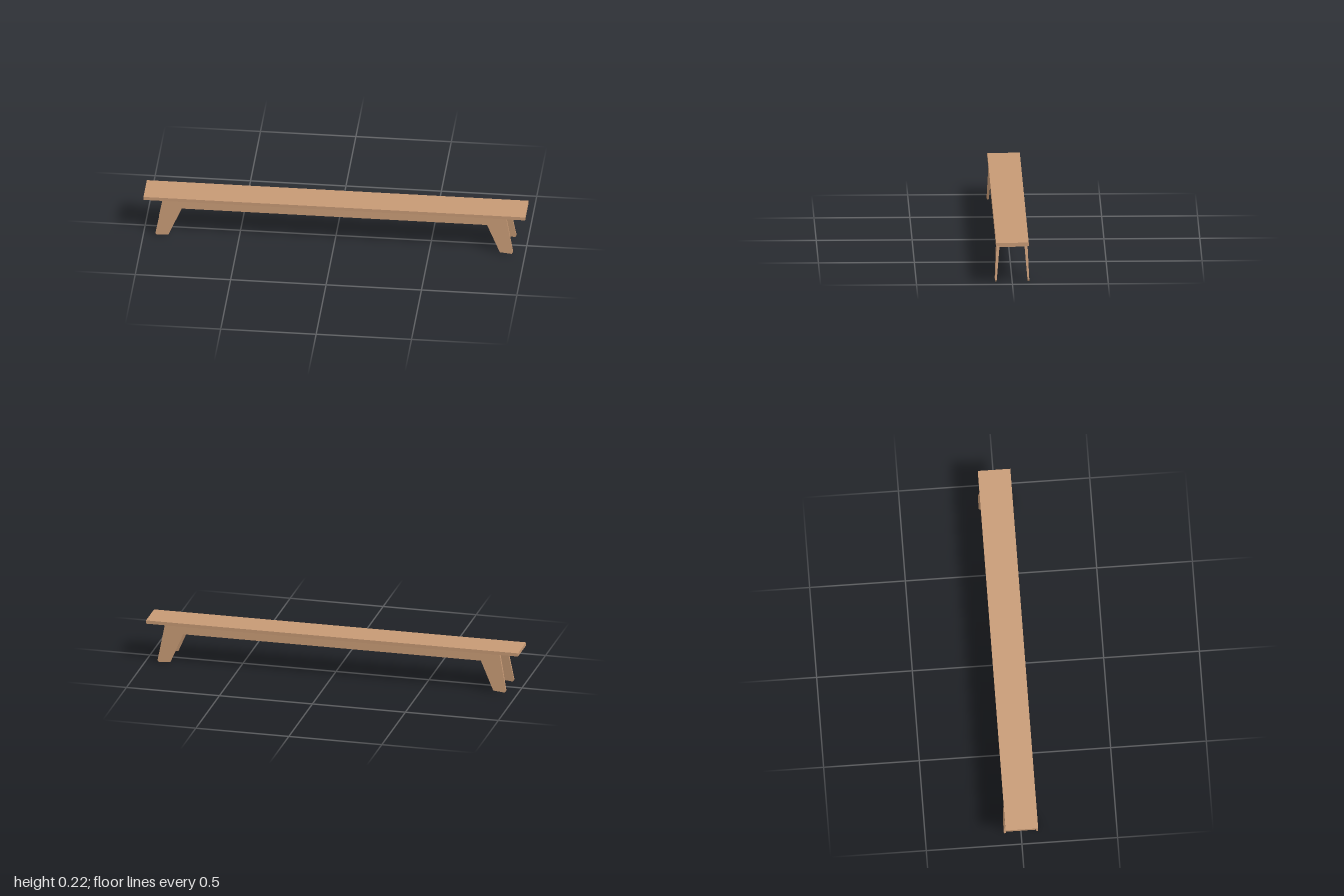
import * as THREE from 'three';

export function createModel() {
  const group = new THREE.Group();
  group.name = 'bench';
  const wood = new THREE.MeshStandardMaterial({ color: 0xc79a75 });
  wood.name = 'wood';

  function add(name, geometry, x = 0, y = 0, z = 0) {
    const mesh = new THREE.Mesh(geometry, wood);
    mesh.name = name;
    mesh.position.set(x, y, z);
    group.add(mesh);
  }

  // Seat plank
  add('seat', new THREE.BoxGeometry(2, 0.018, 0.17), 0, 0.216, 0);

  // Apron and its two legs, one cut-out board per side, leaning outwards at the feet
  const half = [[0.8, 0.165], [0.868, 0.008], [0.93, 0.002], [0.937, 0.012], [0.9, 0.208]];
  const outline = [...half, ...half.map(([x, y]) => [-x, y]).reverse()];
  const shape = new THREE.Shape(outline.map(([x, y]) => new THREE.Vector2(x, y)));
  function sideBoard(side) {
    const geo = new THREE.ExtrudeGeometry(shape, { depth: 1, bevelEnabled: false });
    const p = geo.attributes.position;
    for (let i = 0; i < p.count; i++) {
      const t = THREE.MathUtils.clamp(p.getY(i) / 0.208, 0, 1);
      const inner = THREE.MathUtils.lerp(0.081, 0.063, t);
      const outer = THREE.MathUtils.lerp(0.09, 0.08, t);
      p.setZ(i, p.getZ(i) > 0.5 ? outer : inner);
    }
    geo.computeVertexNormals();
    if (side < 0) geo.rotateY(Math.PI);
    return geo;
  }
  add('frontApronAndLegs', sideBoard(1));
  add('backApronAndLegs', sideBoard(-1));

  // Cross boards between the legs
  for (const s of [-1, 1]) {
    add(s > 0 ? 'leftCrossBoard' : 'rightCrossBoard',
      new THREE.BoxGeometry(0.02, 0.043, 0.134), s * 0.83, 0.1865, 0);
  }
  return group;
}
